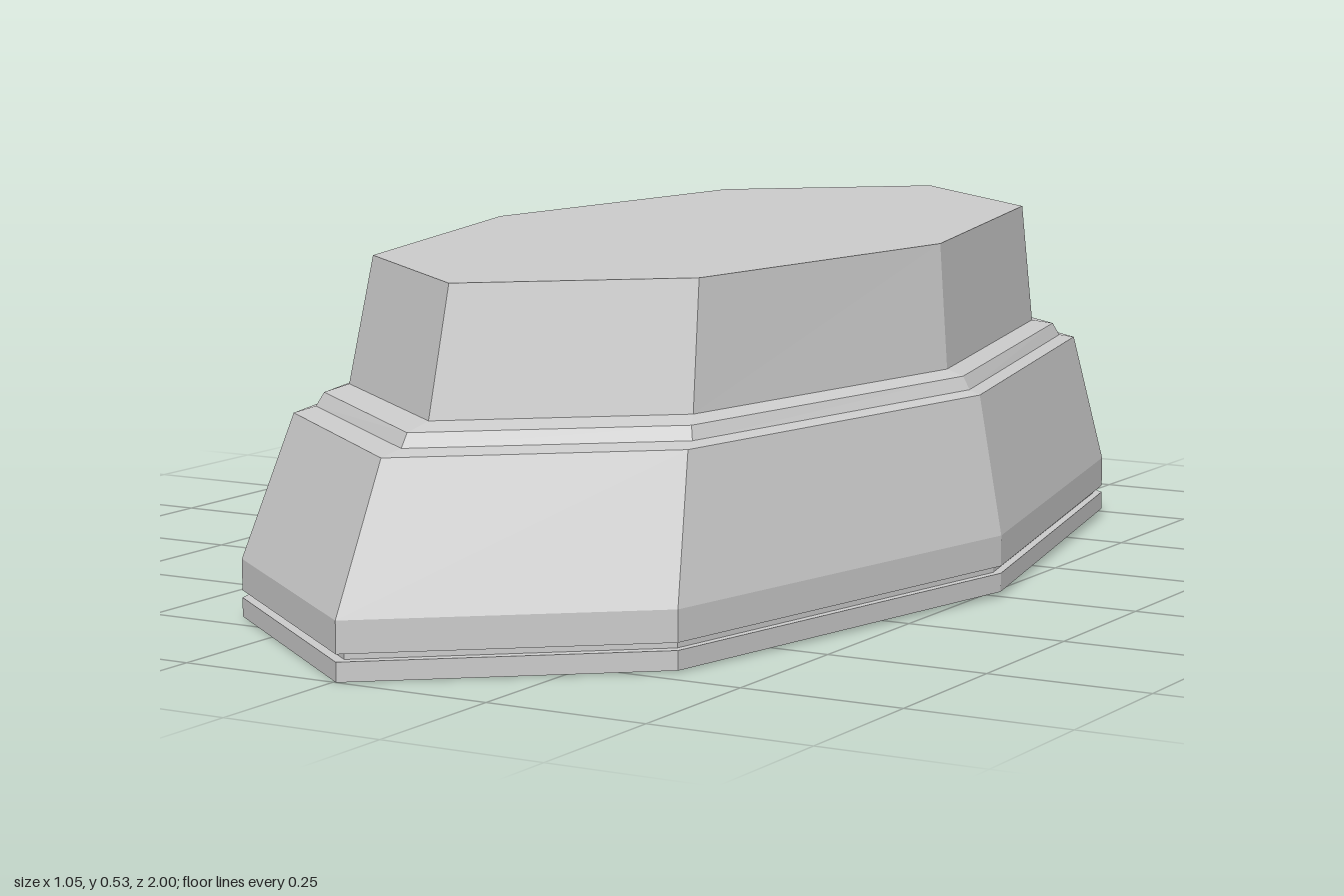
import * as THREE from 'three';

const SIDES = 8;
const TILT = 0.0075; // the plinth rises slightly towards the back
const SKEW = 0.005; // and is turned a touch

// Octagonal ring: height, half width, front z, back z
function ringPoints([y, rx, front, back]) {
  const centre = (front + back) / 2;
  const rz = (front - back) / 2;
  return Array.from({ length: SIDES }, (_, i) => {
    const a = (i / SIDES) * Math.PI * 2;
    const z = centre + rz * Math.cos(a);
    return new THREE.Vector3(rx * Math.sin(a) + SKEW * z, y - TILT * z, z);
  });
}

// Faceted skin through a list of rings, closed at the ends on request
function loft(rings, capBottom, capTop) {
  const loops = rings.map(ringPoints);
  const points = [];
  for (let r = 0; r < loops.length - 1; r++) {
    const [lo, hi] = [loops[r], loops[r + 1]];
    for (let i = 0; i < SIDES; i++) {
      const j = (i + 1) % SIDES;
      points.push(lo[i], lo[j], hi[j], lo[i], hi[j], hi[i]);
    }
  }
  const first = loops[0];
  const last = loops[loops.length - 1];
  for (let i = 1; i < SIDES - 1; i++) {
    if (capBottom) points.push(first[0], first[i + 1], first[i]);
    if (capTop) points.push(last[0], last[i], last[i + 1]);
  }
  const geometry = new THREE.BufferGeometry().setFromPoints(points);
  geometry.computeVertexNormals();
  return geometry;
}

export function createModel() {
  const group = new THREE.Group();
  const material = new THREE.MeshStandardMaterial({ color: 0xcccccc, flatShading: true });

  const add = (name, rings, capBottom = false, capTop = false) => {
    const mesh = new THREE.Mesh(loft(rings, capBottom, capTop), material);
    mesh.name = name;
    group.add(mesh);
  };

  // Rings shared between neighbouring tiers
  const plateTop = [0.036, 0.527, 1.0, -1.0];
  const lipBottom = [0.047, 0.527, 1.0, -1.0];
  const bodyTop = [0.302, 0.478, 0.885, -0.928];
  const pedestalFoot = [0.337, 0.42, 0.766, -0.818];

  add('basePlate', [[0.0075, 0.527, 1.0, -1.0], plateTop], true);
  // Narrow shadow groove between plate and body
  add('groove', [plateTop, [0.036, 0.514, 0.98, -0.98], [0.047, 0.514, 0.98, -0.98], lipBottom]);
  add('body', [lipBottom, [0.094, 0.527, 1.0, -1.0], bodyTop]);
  // Stepped moulding on the shoulder
  add('moulding', [bodyTop, [0.308, 0.458, 0.835, -0.888], [0.328, 0.447, 0.82, -0.874], pedestalFoot]);
  add('pedestal', [pedestalFoot, [0.526, 0.398, 0.711, -0.797]], false, true);

  return group;
}
